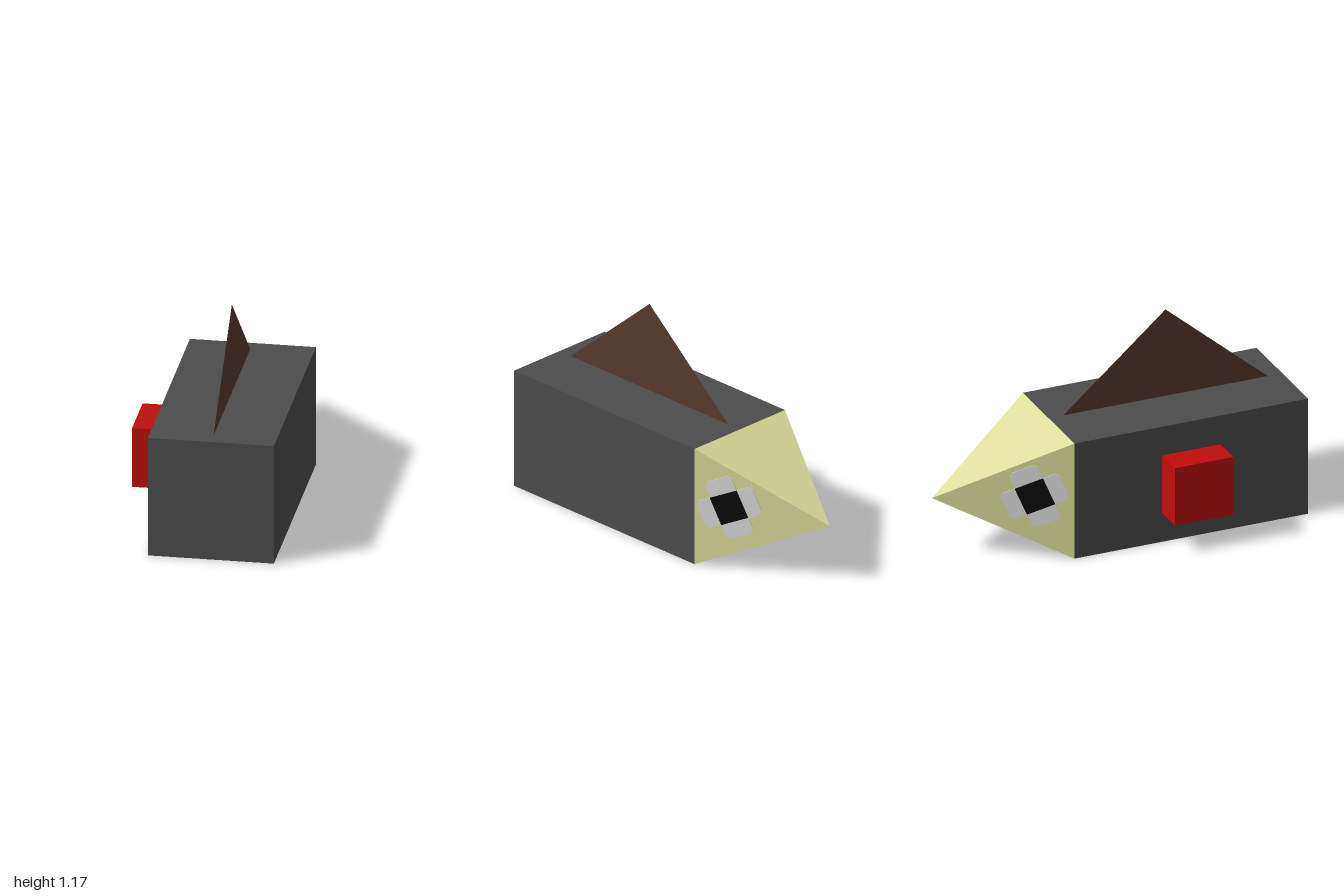
import * as THREE from 'three';

export function createModel() {
  const model = new THREE.Group();
  model.name = 'model';

  const paint = (name, color, extra = {}) => {
    const m = new THREE.MeshStandardMaterial({ color, ...extra });
    m.name = name;
    return m;
  };
  const grey = paint('charcoal grey', 0x4c4c4c);
  const red = paint('red', 0xc00d0d);
  const straw = paint('pale straw', 0xdadc9b, { flatShading: true });
  const brown = paint('brown', 0x563b2e, { side: THREE.DoubleSide });
  const white = paint('light grey', 0xdadada);
  const black = paint('black', 0x0a0a0a);

  const add = (parent, name, geometry, material, x, y, z) => {
    const mesh = new THREE.Mesh(geometry, material);
    mesh.name = name;
    mesh.position.set(x, y, z);
    parent.add(mesh);
    return mesh;
  };

  const T = 1 / 3, MID = 1 / 12; // third of a unit, centre line of the body

  // Body block and side box
  add(model, 'body', new THREE.BoxGeometry(2 * T, 2 * T, 4 * T), grey, MID, T, T);
  add(model, 'sideBox', new THREE.BoxGeometry(T / 2, T, T), red, -T, T, T);

  // Four-sided pointed head at the back
  const head = new THREE.ConeGeometry(T * Math.SQRT2, 2 * T, 4, 1, true);
  head.rotateY(Math.PI / 4).rotateX(-Math.PI / 2);
  add(model, 'head', head, straw, MID, T, -2 * T);

  // Flat triangular fin on the centre line
  const fin = new THREE.Shape();
  fin.moveTo(-0.25, 2 * T);
  fin.lineTo(0.917, 2 * T);
  fin.lineTo(T, 1.167);
  add(model, 'fin', new THREE.ShapeGeometry(fin).rotateY(-Math.PI / 2), brown, MID, 0, 0);

  // Cross-shaped eye plate with slightly cut corners
  const h = 0.08, r = 0.168, c = 0.02;
  const cross = new THREE.Shape();
  const arm = [[r, -h + c], [r, h - c], [r - c, h], [h, h], [h, r - c]];
  const points = [];
  for (let i = 0; i < 4; i++) {
    const a = (i * Math.PI) / 2;
    for (const [x, y] of arm) {
      points.push(new THREE.Vector2(x * Math.cos(a) - y * Math.sin(a), x * Math.sin(a) + y * Math.cos(a)));
    }
  }
  cross.setFromPoints(points);
  const crossGeo = new THREE.ExtrudeGeometry(cross, { depth: 0.004, bevelEnabled: false });
  const pupilGeo = new THREE.BoxGeometry(2 * h, 2 * h, 0.008);

  // One tilted eye lying on each sloping side of the head
  for (const side of [1, -1]) {
    const eye = new THREE.Group();
    eye.name = side > 0 ? 'leftEye' : 'rightEye';
    const z = side > 0 ? -0.505 : -0.518;
    eye.position.set(MID + (side * (z + 1)) / 2, 0.358, z);
    eye.rotation.set(0, Math.atan2(side * 2, -1), 0.41);
    add(eye, 'eyeWhite', crossGeo, white, 0, 0, 0);
    add(eye, 'pupil', pupilGeo, black, 0, 0, 0.004);
    model.add(eye);
  }

  return model;
}
